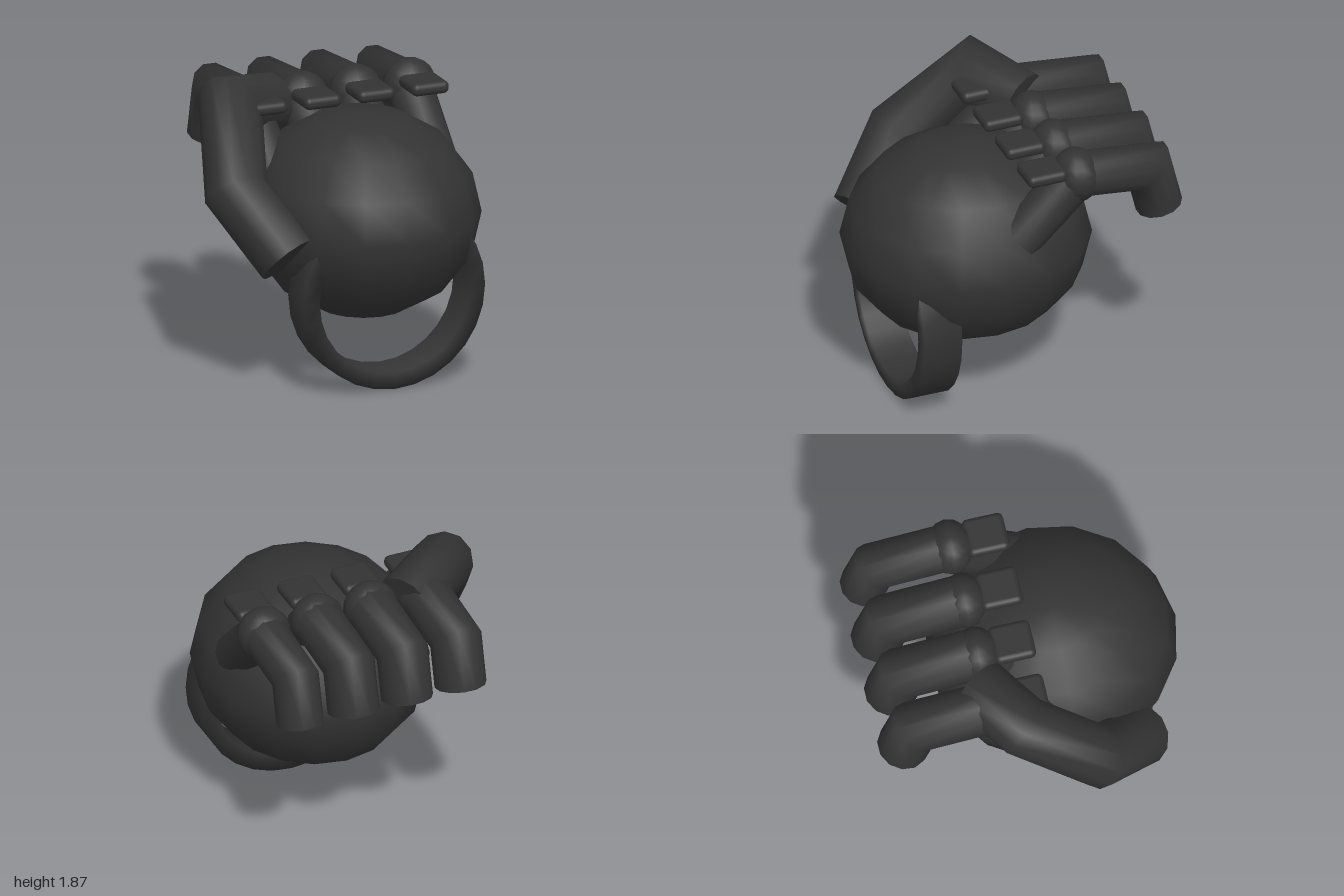
import * as THREE from 'three';
import { RoundedBoxGeometry } from 'three/addons/geometries/RoundedBoxGeometry.js';

const SIDES = 12;

// Round bar along straight segments with mitred bends and flat caps
function bentBar(path, radius) {
  const pts = path.map(p => new THREE.Vector3(...p));
  const dirs = pts.slice(1).map((p, i) => p.clone().sub(pts[i]).normalize());
  const last = pts.length - 1;
  const v = new THREE.Vector3(0, 1, 0).cross(dirs[0]).normalize();
  const u = v.clone().cross(dirs[0]).normalize();
  const rings = [];
  let ring = [];
  for (let j = 0; j < SIDES; j++) {
    const a = (j + 0.5) / SIDES * Math.PI * 2;
    ring.push(pts[0].clone()
      .addScaledVector(u, Math.cos(a) * radius)
      .addScaledVector(v, Math.sin(a) * radius));
  }
  rings.push(ring);
  for (let i = 1; i <= last; i++) {
    // slide the previous ring along its segment onto the mitre plane
    const d = dirs[i - 1];
    const n = i < last ? d.clone().add(dirs[i]).normalize() : d;
    ring = ring.map(p => p.clone().addScaledVector(d, pts[i].clone().sub(p).dot(n) / d.dot(n)));
    rings.push(ring);
  }
  const pos = [], idx = [];
  const add = p => pos.push(p.x, p.y, p.z) / 3 - 1;
  rings.forEach(r => r.forEach(add));
  for (let i = 0; i < last; i++) {
    for (let j = 0; j < SIDES; j++) {
      const a = i * SIDES + j, b = i * SIDES + (j + 1) % SIDES;
      idx.push(a, b, a + SIDES, b, b + SIDES, a + SIDES);
    }
  }
  // caps have their own vertices so their rims stay crisp
  [[rings[0], pts[0], true], [rings[last], pts[last], false]].forEach(([r, c, flip]) => {
    const centre = add(c);
    const first = centre + 1;
    r.forEach(add);
    for (let j = 0; j < SIDES; j++) {
      const a = first + j, b = first + (j + 1) % SIDES;
      if (flip) idx.push(centre, b, a);
      else idx.push(centre, a, b);
    }
  });
  const g = new THREE.BufferGeometry();
  g.setAttribute('position', new THREE.Float32BufferAttribute(pos, 3));
  g.setIndex(idx);
  g.computeVertexNormals();
  return g;
}

export function createModel() {
  const model = new THREE.Group();
  model.name = 'clenchedHand';
  const mat = new THREE.MeshStandardMaterial({ color: 0x333333 });
  const part = (name, geometry, parent = model) => {
    const m = new THREE.Mesh(geometry, mat);
    m.name = name;
    parent.add(m);
    return m;
  };

  // Faceted ellipsoid body
  const body = part('body', new THREE.SphereGeometry(1, 16, 8));
  body.scale.set(0.73, 0.65, 0.785);
  body.position.set(0.18, 1.003, 0.213);

  // Flat-section ring hanging from the front of the body
  const profile = [[0.5, -0.125], [0.605, -0.125], [0.605, 0.125], [0.5, 0.125], [0.5, -0.125]]
    .map(p => new THREE.Vector2(...p));
  const ring = part('ring', new THREE.LatheGeometry(profile, 28));
  ring.rotation.x = Math.PI / 2;
  ring.position.set(0.18, 0.605, 0.605);

  // Thumb wrapping round the side and over the first finger
  part('thumb', bentBar([
    [-0.49, 0.885, 0.625], [-0.7, 1.255, 0.31], [-0.55, 1.66, -0.13], [-0.22, 1.585, -0.33],
  ], 0.195));

  // Four fingers, each with two bars, a knuckle and a nail
  [-0.36, 0, 0.36, 0.72].forEach((x, i) => {
    const finger = new THREE.Group();
    finger.name = 'finger' + (i + 1);
    finger.position.x = x;
    model.add(finger);
    const r = i === 3 ? 0.147 : 0.162;
    part('lowerFinger', bentBar([[0, 1.22, 0.09], [0, 1.59, -0.3]], 0.145), finger);
    part('upperFinger', bentBar([[0, 1.6, -0.31], [0, 1.55, -0.78], [0, 1.265, -0.85]], r), finger);
    const knuckle = part('knuckle', new THREE.SphereGeometry(0.172, 14, 10), finger);
    knuckle.position.set(0, 1.6, -0.3);
    knuckle.scale.z = 0.85;
    part('nail', new RoundedBoxGeometry(0.245, 0.08, 0.26, 3, 0.036), finger)
      .position.set(0, 1.667, -0.075);
  });

  return model;
}
